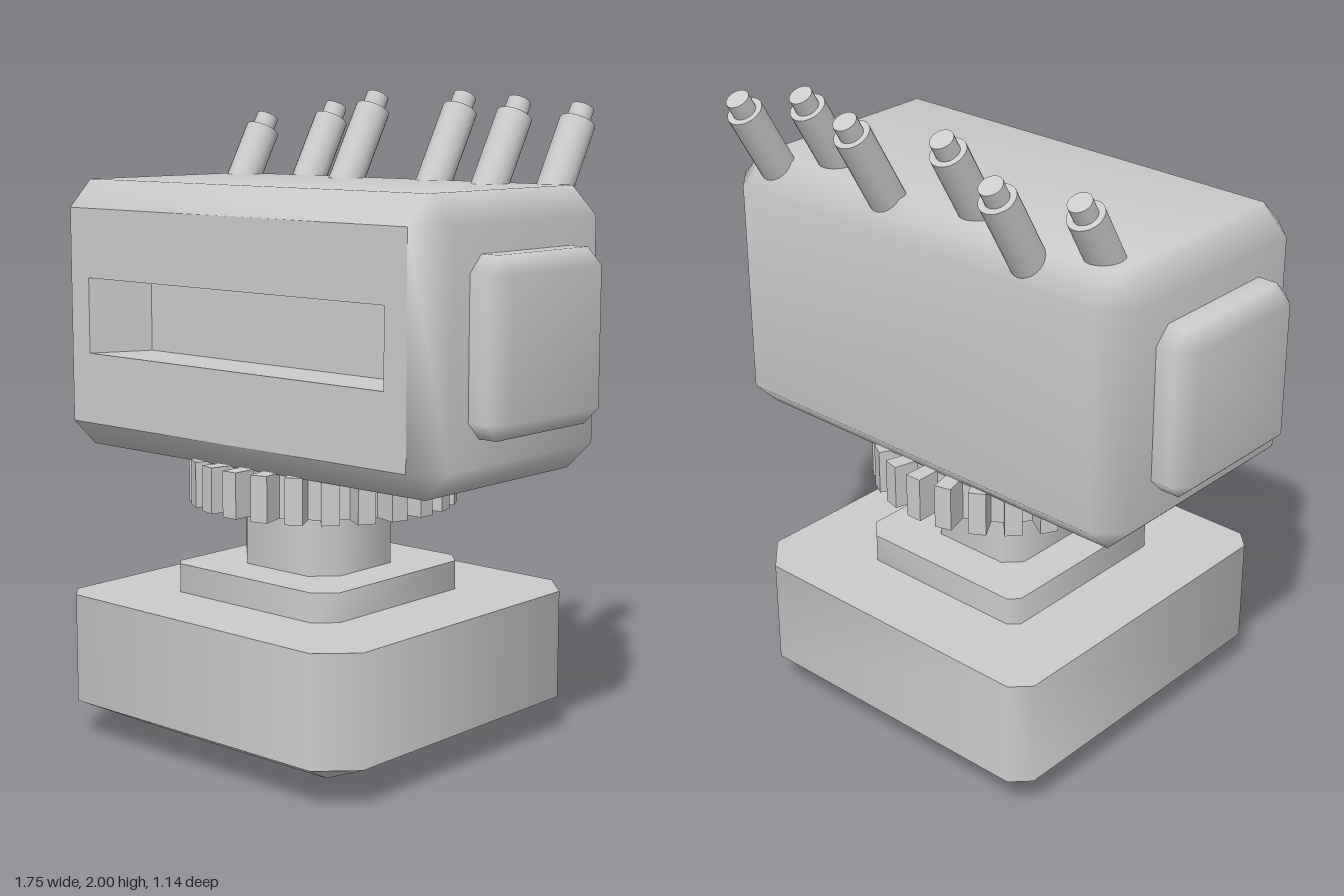
import * as THREE from 'three';
import { mergeVertices, toCreasedNormals } from 'three/addons/utils/BufferGeometryUtils.js';
import { ConvexGeometry } from 'three/addons/geometries/ConvexGeometry.js';

const grey = new THREE.MeshStandardMaterial({ color: 0xcccccc });
const greyDouble = new THREE.MeshStandardMaterial({ color: 0xcccccc, side: THREE.DoubleSide });

function add(parent, name, geometry, material = grey) {
  const mesh = new THREE.Mesh(geometry, material);
  mesh.name = name;
  parent.add(mesh);
  return mesh;
}

// Rectangle at height y with cut corners (left and right cuts may differ)
function ring(y, x0, x1, z, c0, c1) {
  const points = [];
  for (const s of [-1, 1]) {
    points.push([x0, s * (z - c0)], [x0 + c0, s * z], [x1, s * (z - c1)], [x1 - c1, s * z]);
  }
  return points.map(([x, pz]) => new THREE.Vector3(x, y, pz));
}

const hull = (...rings) => toCreasedNormals(new ConvexGeometry(rings.flat()), 0.9);

// Softly shaded box with one bevel per edge; the front face can be left open
function bevelBox(hx, hy, hz, b, openFront = false) {
  const points = [];
  for (const x of [-1, 1]) for (const y of [-1, 1]) for (const z of [-1, 1]) {
    points.push(
      new THREE.Vector3(x * hx, y * (hy - b), z * (hz - b)),
      new THREE.Vector3(x * (hx - b), y * hy, z * (hz - b)),
      new THREE.Vector3(x * (hx - b), y * (hy - b), z * hz));
  }
  const source = new ConvexGeometry(points).attributes.position;
  const kept = [];
  for (let i = 0; i < source.count; i += 3) {
    const front = [0, 1, 2].every(k => source.getZ(i + k) > hz - 1e-4);
    if (openFront && front) continue;
    for (let k = 0; k < 3; k++) kept.push(source.getX(i + k), source.getY(i + k), source.getZ(i + k));
  }
  let geometry = new THREE.BufferGeometry();
  geometry.setAttribute('position', new THREE.Float32BufferAttribute(kept, 3));
  geometry = mergeVertices(geometry);
  geometry.computeVertexNormals();
  return geometry;
}

function rectangle(PathType, x0, x1, y0, y1) {
  return new PathType([[x0, y0], [x1, y0], [x1, y1], [x0, y1]].map(p => new THREE.Vector2(...p)));
}

function buildBase(model) {
  const foot = ring(0, -0.33, 0.31, 0.33, 0, 0);
  add(model, 'base', hull(foot, ring(0.12, -0.57, 0.57, 0.57, 0.055, 0.105), ring(0.46, -0.57, 0.57, 0.57, 0.055, 0.105)));
  add(model, 'plinth', hull(ring(0.45, -0.33, 0.31, 0.33, 0.03, 0.06), ring(0.55, -0.33, 0.31, 0.33, 0.03, 0.06)));
  add(model, 'neck', hull(ring(0.54, -0.2, 0.175, 0.187, 0.05, 0.07), ring(0.78, -0.2, 0.175, 0.187, 0.05, 0.07)));
}

function buildGear(model) {
  const teeth = 24, outer = 0.415, root = 0.335, step = Math.PI * 2 / teeth;
  const points = [];
  for (let i = 0; i < teeth; i++) {
    for (const [r, f] of [[root, -0.29], [outer, -0.25], [outer, 0.25], [root, 0.29]]) {
      const a = (i + f) * step;
      points.push(new THREE.Vector2(r * Math.cos(a), r * Math.sin(a)));
    }
  }
  const geometry = new THREE.ExtrudeGeometry(new THREE.Shape(points), { depth: 0.14, bevelEnabled: false });
  geometry.rotateX(-Math.PI / 2).translate(0, 0.75, 0);
  add(model, 'gear', geometry);
}

function buildHead(model) {
  const head = new THREE.Group();
  head.name = 'head';
  head.position.y = 1.305;
  model.add(head);
  add(head, 'shell', bevelBox(0.765, 0.42, 0.42, 0.085, true));

  // Front panel with the slot cut out
  const panel = rectangle(THREE.Shape, -0.68, 0.68, -0.335, 0.335);
  panel.holes.push(rectangle(THREE.Path, -0.6, 0.6, -0.115, 0.12));
  add(head, 'frontPanel', new THREE.ShapeGeometry(panel).translate(0, 0, 0.42));

  // Slot walls, narrowing towards the back
  const depth = 0.18;
  let slot = new THREE.BoxGeometry(1.2, 0.235, depth);
  const position = slot.attributes.position;
  for (let i = 0; i < position.count; i++) {
    if (position.getZ(i) < 0) position.setX(i, position.getX(i) * 0.85);
  }
  const index = Array.from(slot.index.array);
  index.splice(24, 6); // open at the front
  // Turn the walls to face inwards
  for (let i = 0; i < index.length; i += 3) [index[i], index[i + 1]] = [index[i + 1], index[i]];
  slot.setIndex(index);
  slot.clearGroups();
  slot = slot.toNonIndexed();
  slot.computeVertexNormals();
  add(head, 'slot', slot.translate(0, 0.0025, 0.42 - depth / 2), greyDouble);

  for (const side of [-1, 1]) {
    add(head, side > 0 ? 'leftPod' : 'rightPod', bevelBox(0.11, 0.255, 0.257, 0.05)).position.x = side * 0.765;
  }
}

// Rods leaning back from the rear of the head: tip x, y, z
function buildRods(model) {
  const tips = [
    [-0.595, 1.912, -0.38], [-0.405, 1.947, -0.512], [-0.137, 1.982, -0.412],
    [0.16, 1.982, -0.485], [0.45, 1.967, -0.38], [0.605, 1.947, -0.485],
  ];
  const body = new THREE.CylinderGeometry(0.055, 0.055, 0.36, 24).translate(0, -0.23, 0);
  const tip = new THREE.CylinderGeometry(0.036, 0.036, 0.06, 24).translate(0, -0.03, 0);
  for (const place of tips) {
    const rod = new THREE.Group();
    rod.name = 'rod';
    add(rod, 'rodBody', body);
    add(rod, 'rodTip', tip);
    rod.position.set(...place);
    rod.rotation.x = -Math.PI / 6;
    model.add(rod);
  }
}

export function createModel() {
  const model = new THREE.Group();
  model.name = 'robotHead';
  buildBase(model);
  buildGear(model);
  buildHead(model);
  buildRods(model);
  return model;
}
